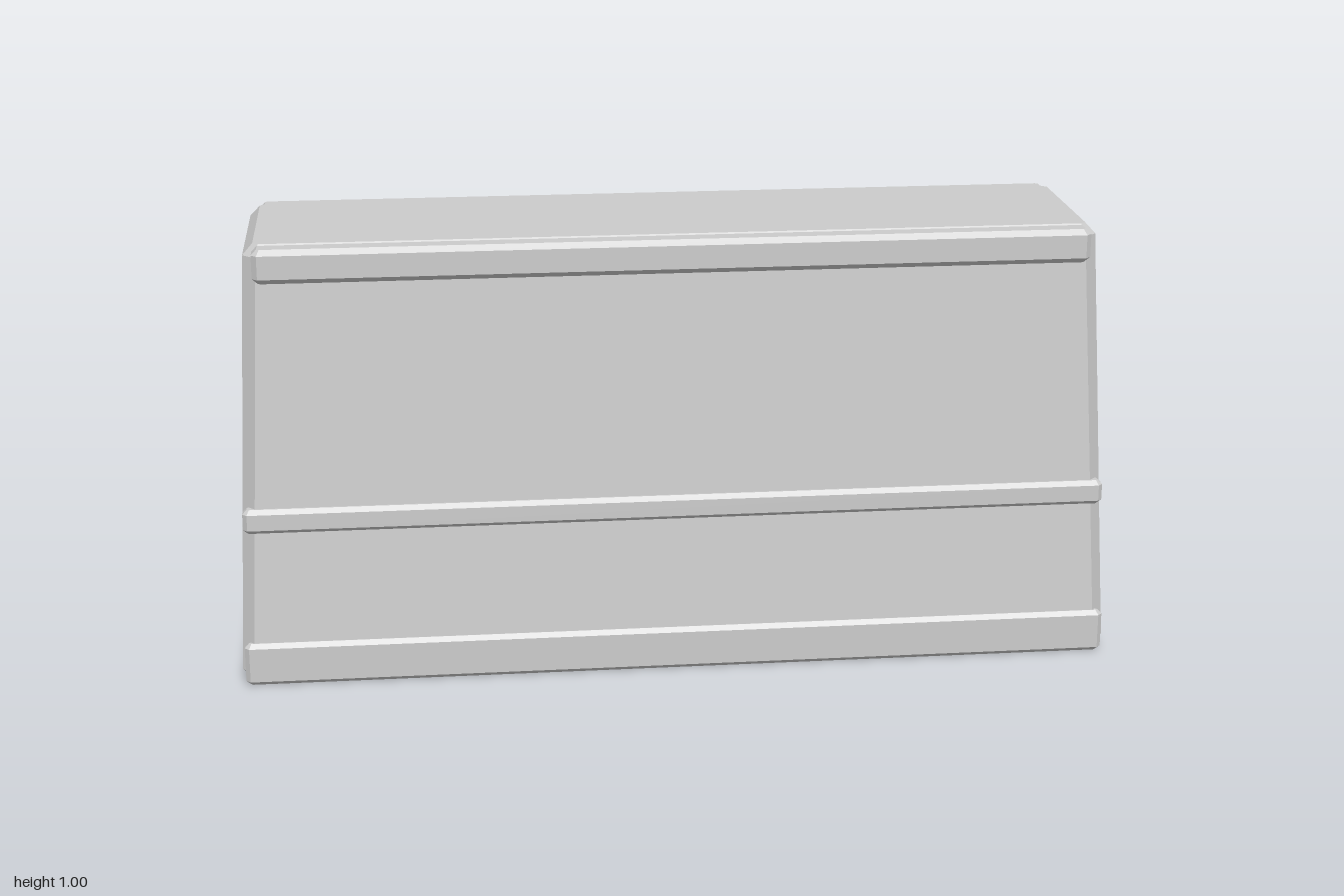
import * as THREE from 'three';

// Solid skinned over chamfered rectangles: each ring is [y, halfX, halfZ, chamfer]
function loft(rings) {
  const loops = rings.map(([y, x, z, c]) => [
    [x, y, z - c], [x - c, y, z], [c - x, y, z], [-x, y, z - c],
    [-x, y, c - z], [c - x, y, -z], [x - c, y, -z], [x, y, c - z],
  ]);
  const pos = [];
  const tri = (a, b, c) => pos.push(...a, ...b, ...c);
  for (let r = 0; r < loops.length - 1; r++) {
    for (let i = 0; i < 8; i++) {
      const j = (i + 1) % 8, lo = loops[r], hi = loops[r + 1];
      tri(lo[i], hi[i], lo[j]);
      tri(lo[j], hi[i], hi[j]);
    }
  }
  const bottom = loops[0], top = loops[loops.length - 1];
  for (let i = 1; i < 7; i++) {
    tri(bottom[0], bottom[i], bottom[i + 1]);
    tri(top[0], top[i + 1], top[i]);
  }
  const geo = new THREE.BufferGeometry();
  geo.setAttribute('position', new THREE.Float32BufferAttribute(pos, 3));
  geo.computeVertexNormals();
  return geo;
}

// Box with all edges chamfered, resting on y = 0
function chamferBox(halfX, height, halfZ, c) {
  return loft([
    [0, halfX - c, halfZ - c, c / 2],
    [c, halfX, halfZ, c],
    [height - c, halfX, halfZ, c],
    [height, halfX - c, halfZ - c, c / 2],
  ]);
}

export function createModel() {
  const group = new THREE.Group();
  const concrete = new THREE.MeshStandardMaterial({ color: 0xcccccc, flatShading: true });
  concrete.name = 'concrete grey';

  const add = (name, geo, y = 0, z = 0) => {
    const mesh = new THREE.Mesh(geo, concrete);
    mesh.name = name;
    mesh.position.set(0, y, z);
    group.add(mesh);
  };

  // Tapered barrier block with bevelled corners
  add('body', loft([
    [0.02, 0.985, 0.283, 0.022],
    [0.03, 0.995, 0.295, 0.027],
    [0.975, 0.953, 0.214, 0.03],
    [1.0, 0.93, 0.188, 0.012],
  ]));

  // Foot slab under the block
  add('baseSlab', loft([
    [0, 0.977, 0.29, 0.005],
    [0.01, 0.987, 0.295, 0.01],
    [0.022, 0.987, 0.295, 0.01],
  ]));

  // Horizontal bands: name, half length, bottom, height, inner z, outer z, chamfer
  const bands = [
    ['baseBand', 0.987, 0, 0.1, 0.27, 0.3, 0.01],
    ['middleBand', 0.978, 0.355, 0.057, 0.236, 0.276, 0.01],
    ['topBand', 0.932, 0.92, 0.077, 0.17, 0.24, 0.012],
  ];
  for (const [name, halfX, y, h, z0, z1, c] of bands) {
    for (const side of [1, -1]) {
      add(name + (side > 0 ? 'Front' : 'Back'),
        chamferBox(halfX, h, (z1 - z0) / 2, c), y, side * (z0 + z1) / 2);
    }
  }
  return group;
}
